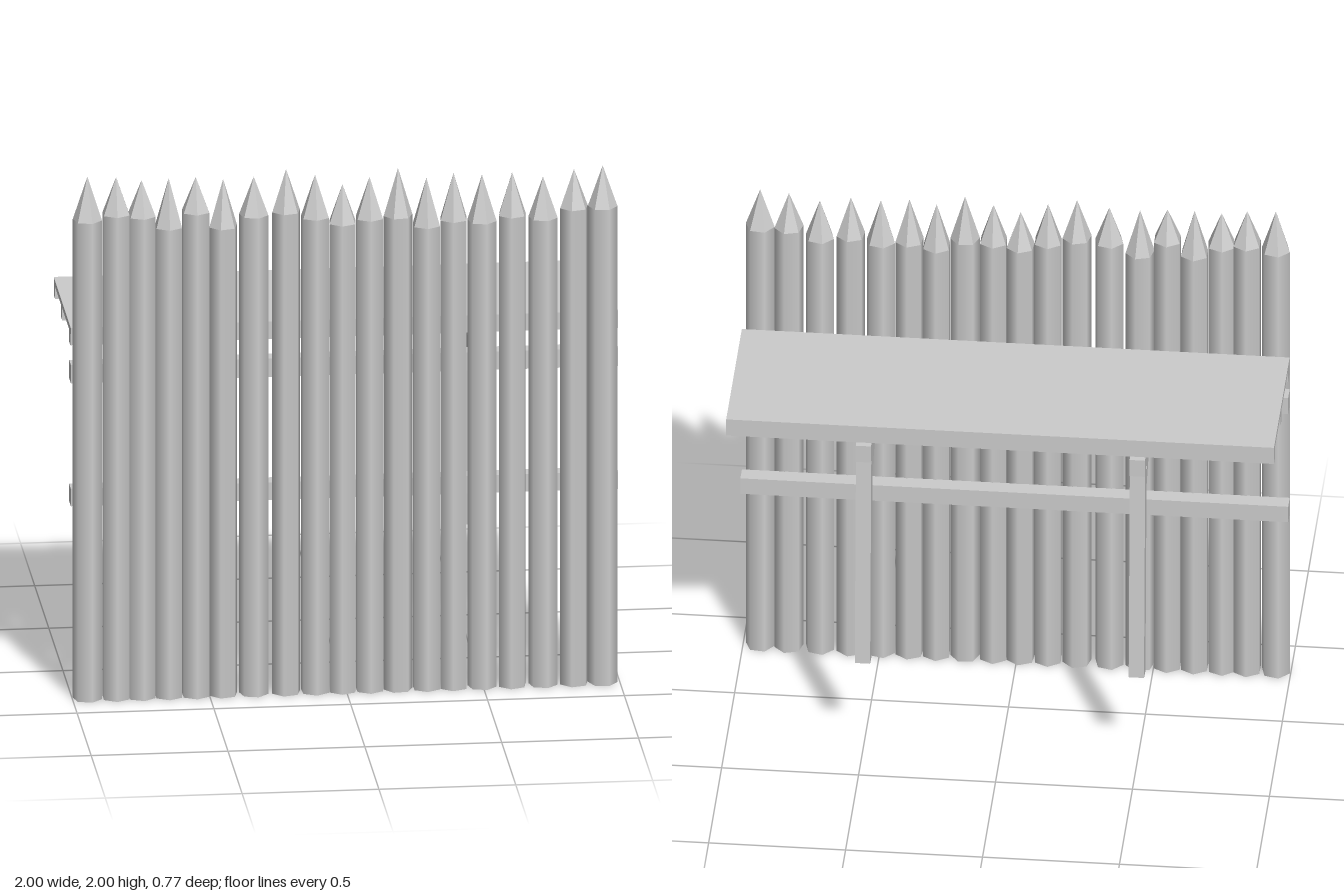
import * as THREE from 'three';

const R = 0.054; // stake radius

// x centre, visible width, shoulder height, tip height
const STAKES = [
  [-0.945, 0.104, 1.83, 1.995], [-0.84, 0.094, 1.85, 1.99], [-0.747, 0.099, 1.84, 1.975],
  [-0.648, 0.094, 1.795, 1.98], [-0.549, 0.094, 1.85, 1.98], [-0.449, 0.104, 1.79, 1.97],
  [-0.337, 0.104, 1.83, 1.975], [-0.219, 0.104, 1.84, 2.0], [-0.113, 0.096, 1.815, 1.975],
  [-0.013, 0.099, 1.79, 1.935], [0.086, 0.094, 1.805, 1.96], [0.19, 0.107, 1.81, 1.99],
  [0.294, 0.094, 1.77, 1.95], [0.393, 0.099, 1.79, 1.965], [0.497, 0.104, 1.78, 1.955],
  [0.607, 0.101, 1.80, 1.96], [0.72, 0.104, 1.785, 1.94], [0.833, 0.104, 1.82, 1.965],
  [0.938, 0.107, 1.82, 1.975],
];

export function createModel() {
  const model = new THREE.Group();
  const wood = new THREE.MeshStandardMaterial({ color: 0xcccccc });
  wood.name = 'wood';
  const pointWood = wood.clone(); // same colour, faceted for the carved points
  pointWood.name = 'carvedWood';
  pointWood.flatShading = true;

  const add = (name, geometry, material = wood) => {
    const mesh = new THREE.Mesh(geometry, material);
    mesh.name = name;
    model.add(mesh);
    return mesh;
  };

  // Box given by its limits on each axis
  const beam = (name, x0, x1, y0, y1, z0, z1) =>
    add(name, new THREE.BoxGeometry(x1 - x0, y1 - y0, z1 - z0))
      .position.set((x0 + x1) / 2, (y0 + y1) / 2, (z0 + z1) / 2);

  // Timber with a side outline of [z, y] points, centred on x
  const sideTimber = (name, points, x, width) => {
    const shape = new THREE.Shape(points.map(([z, y]) => new THREE.Vector2(z, y)));
    const geometry = new THREE.ExtrudeGeometry(shape, { depth: width, bevelEnabled: false });
    geometry.translate(0, 0, -width / 2).rotateY(-Math.PI / 2);
    add(name, geometry).position.x = x;
  };

  // Palisade of six-sided stakes, each turned to give its own width
  STAKES.forEach(([x, width, shoulder, tip], i) => {
    const turn = Math.PI / 2 + Math.acos(Math.min(1, width / (2 * R))) * (i % 2 ? 1 : -1);
    const body = add('stake', new THREE.CylinderGeometry(R, R, shoulder, 6));
    body.position.set(x, shoulder / 2, 0.332);
    body.rotation.y = turn;
    const point = add('stakePoint', new THREE.ConeGeometry(R, tip - shoulder, 6), pointWood);
    point.position.set(x, (shoulder + tip) / 2, 0.332);
    point.rotation.y = turn;
  });

  // Walkway deck
  beam('deck', -1, 1, 1.377, 1.4, -0.325, 0.277);

  // Rails and joists, each joined from two lengths
  for (const [x0, x1] of [[-1, 0], [0, 1]]) {
    beam('lowerRail', x0, x1, 0.72, 0.787, 0.222, 0.282);
    beam('upperRail', x0, x1, 1.19, 1.26, 0.222, 0.282);
    for (const z of [0.243, -0.048, -0.303]) {
      beam('joist', x0, x1, 1.33, 1.377, z - 0.022, z + 0.022);
    }
  }

  // Two supporting frames: crossbeam, leaning leg and diagonal brace
  for (const x of [-0.503, 0.497]) {
    beam('crossbeam', x - 0.028, x + 0.028, 1.26, 1.33, -0.348, 0.282);
    sideTimber('leg', [[-0.382, 0.408], [-0.326, 0.403], [-0.28, 1.26], [-0.338, 1.26]], x, 0.056);
    sideTimber('brace', [[-0.3, 1.02], [-0.068, 1.255], [-0.075, 1.262], [-0.125, 1.262], [-0.3, 1.082]], x, 0.04);
  }

  return model;
}
